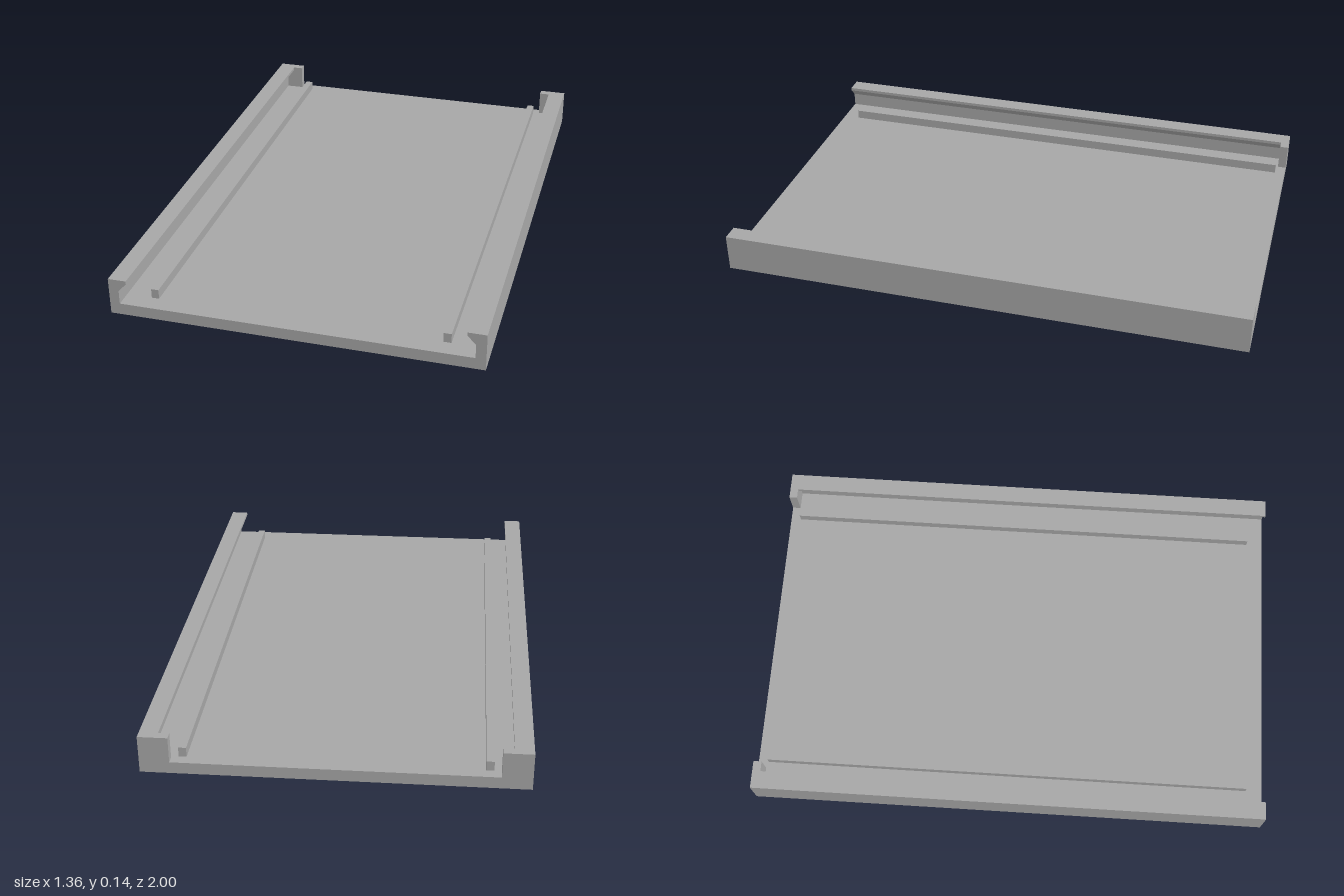
import * as THREE from 'three';

const HALF_W = 0.68, HEIGHT = 0.142, FLOOR = 0.044, RECESS = 0.007;

export function createModel() {
  const model = new THREE.Group();
  model.name = 'slidingTray';
  const grey = new THREE.MeshStandardMaterial({ color: 0xa6a6a6 });
  grey.name = 'grey';

  const add = (name, geometry, x = 0, y = 0, z = 0) => {
    const mesh = new THREE.Mesh(geometry, grey);
    mesh.name = name;
    mesh.position.set(x, y, z);
    model.add(mesh);
  };
  const box = (name, x0, x1, y0, y1, z0, z1) =>
    add(name, new THREE.BoxGeometry(x1 - x0, y1 - y0, z1 - z0),
      (x0 + x1) / 2, (y0 + y1) / 2, (z0 + z1) / 2);

  // Floor and undercut side rails: one channel section, mirrored about x = 0
  const half = [
    [HALF_W, RECESS], [HALF_W, HEIGHT], [0.612, HEIGHT],
    [0.612, 0.13], [0.643, 0.097], [0.643, FLOOR],
  ];
  const mirrored = half.map(([x, y]) => [-x, y]).reverse();
  const section = new THREE.Shape([...half, ...mirrored].map(([x, y]) => new THREE.Vector2(x, y)));
  add('channelBody', new THREE.ExtrudeGeometry(section, { depth: 2, bevelEnabled: false }), 0, 0, -1);

  // Underside skin with a shallow rectangular recess
  const skin = new THREE.Shape([[-HALF_W, -1], [HALF_W, -1], [HALF_W, 1], [-HALF_W, 1]]
    .map(([x, y]) => new THREE.Vector2(x, y)));
  skin.holes.push(new THREE.Path([[-0.4, -0.96], [-0.4, 0.21], [0.4, 0.21], [0.4, -0.96]]
    .map(([x, y]) => new THREE.Vector2(x, y))));
  const skinGeometry = new THREE.ExtrudeGeometry(skin, { depth: RECESS, bevelEnabled: false });
  skinGeometry.rotateX(-Math.PI / 2);
  add('underside', skinGeometry);

  // Guide strips on the floor and end stops at the back, one pair per side
  for (const [side, s] of [['left', 1], ['right', -1]]) {
    const span = (a, b) => (s > 0 ? [a, b] : [-b, -a]);
    box(side + 'GuideStrip', ...span(0.52, 0.548), FLOOR, 0.08, -0.96, 0.935);
    box(side + 'EndStop', ...span(0.573, 0.645), FLOOR, HEIGHT, -1, -0.968);
  }
  return model;
}
